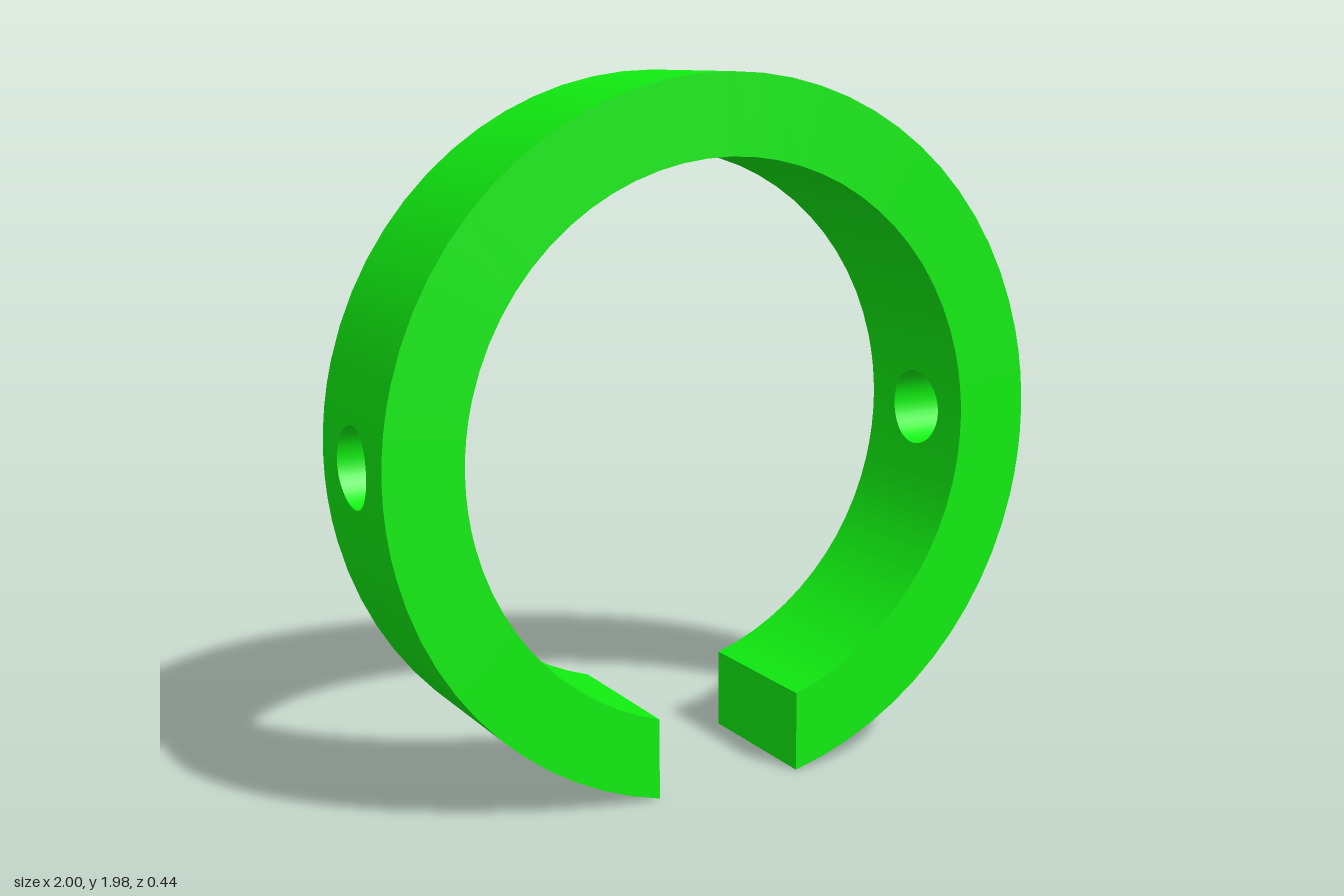
import * as THREE from 'three';
import { mergeGeometries } from 'three/addons/utils/BufferGeometryUtils.js';

const OUTER = 1, INNER = 0.778, HALF_WIDTH = 0.222, HALF_GAP = 0.222, HOLE = 0.111;
const CENTRE_Y = Math.sqrt(OUTER ** 2 - HALF_GAP ** 2);
const PATCH = 0.25; // half angle of the wall area around a screw hole
const { lerp } = THREE.MathUtils;

const onRing = (R, a, z) => new THREE.Vector3(R * Math.cos(a), R * Math.sin(a), z);
const endAngle = (R) => -Math.acos(HALF_GAP / R);

// Grid surface from a point rule and a normal rule; winding follows the normal
function surface(nu, nv, point, normal) {
  const pos = [], nor = [], idx = [];
  for (let i = 0; i <= nu; i++) {
    for (let j = 0; j <= nv; j++) {
      const p = point(i / nu, j / nv);
      pos.push(...p);
      nor.push(...normal(p).normalize());
    }
  }
  const at = (k) => new THREE.Vector3().fromArray(pos, k * 3);
  const row = nv + 1;
  const facing = at(row).sub(at(0)).cross(at(1).sub(at(0)));
  const flip = facing.dot(new THREE.Vector3().fromArray(nor)) < 0;
  for (let i = 0; i < nu; i++) {
    for (let j = 0; j < nv; j++) {
      const a = i * row + j, b = a + row, c = b + 1, d = a + 1;
      idx.push(...(flip ? [a, c, b, a, d, c] : [a, b, c, a, c, d]));
    }
  }
  const g = new THREE.BufferGeometry();
  g.setAttribute('position', new THREE.Float32BufferAttribute(pos, 3));
  g.setAttribute('normal', new THREE.Float32BufferAttribute(nor, 3));
  g.setIndex(idx);
  return g;
}

// Angular sections of one half: below the hole, beside it, above it
const sections = (R) => [
  [endAngle(R), -PATCH, 12],
  [-PATCH, PATCH, 8],
  [PATCH, Math.PI / 2, 14],
];

// Curved wall of one half, with a round hole through its middle section
function wall(R, sign) {
  const normal = (p) => new THREE.Vector3(p.x * sign, p.y * sign, 0);
  const [low, , high] = sections(R);
  const strips = [low, high].map(([a, b, n]) =>
    surface(n, 1, (u, v) => onRing(R, lerp(a, b, u), lerp(-HALF_WIDTH, HALF_WIDTH, v)), normal));
  const edge = (k) => Math.atan(k) * 4 / Math.PI;
  const patch = surface(32, 6, (u, v) => {
    const t = u * Math.PI * 2, c = Math.cos(t), s = Math.sin(t);
    const m = Math.max(Math.abs(c), Math.abs(s));
    const angle = lerp(Math.asin(HOLE * s / R), PATCH * edge(s / m), v);
    return onRing(R, angle, lerp(HOLE * c, HALF_WIDTH * edge(c / m), v));
  }, normal);
  return [...strips, patch];
}

// Flat front or back side of one half
function sideFace(sign) {
  const outer = sections(OUTER), inner = sections(INNER);
  return outer.map(([a, b, n], k) => surface(n, 1, (u, v) => {
    const pIn = onRing(INNER, lerp(inner[k][0], inner[k][1], u), sign * HALF_WIDTH);
    return pIn.lerp(onRing(OUTER, lerp(a, b, u), sign * HALF_WIDTH), v);
  }, () => new THREE.Vector3(0, 0, sign)));
}

// Vertical cut beside the gap
function gapFace() {
  return [surface(1, 1, (u, v) => {
    const R = u ? OUTER : INNER;
    return onRing(R, endAngle(R), lerp(-HALF_WIDTH, HALF_WIDTH, v));
  }, () => new THREE.Vector3(-1, 0, 0))];
}

// Bore of the screw hole, running along x
function holeBore() {
  return [surface(32, 1, (u, v) => {
    const t = u * Math.PI * 2, y = HOLE * Math.sin(t), R = v ? OUTER : INNER;
    return new THREE.Vector3(Math.sqrt(R * R - y * y), y, HOLE * Math.cos(t));
  }, (p) => new THREE.Vector3(0, -p.y, -p.z))];
}

export function createModel() {
  const model = new THREE.Group();
  model.name = 'splitRing';
  const material = new THREE.MeshStandardMaterial({ color: 0x11ee11 });
  const parts = {
    outerWall: wall(OUTER, 1),
    innerWall: wall(INNER, -1),
    frontFace: sideFace(1),
    backFace: sideFace(-1),
    gapFace: gapFace(),
    screwHole: holeBore(),
  };
  const geometries = Object.entries(parts).map(([name, list]) => [name, mergeGeometries(list)]);

  // The two halves match under a half turn about the vertical axis
  for (const [side, turn] of [['leftHalf', 0], ['rightHalf', Math.PI]]) {
    const half = new THREE.Group();
    half.name = side;
    half.rotation.y = turn;
    half.position.y = CENTRE_Y;
    for (const [name, geometry] of geometries) {
      const mesh = new THREE.Mesh(geometry, material);
      mesh.name = name;
      half.add(mesh);
    }
    model.add(half);
  }
  return model;
}
